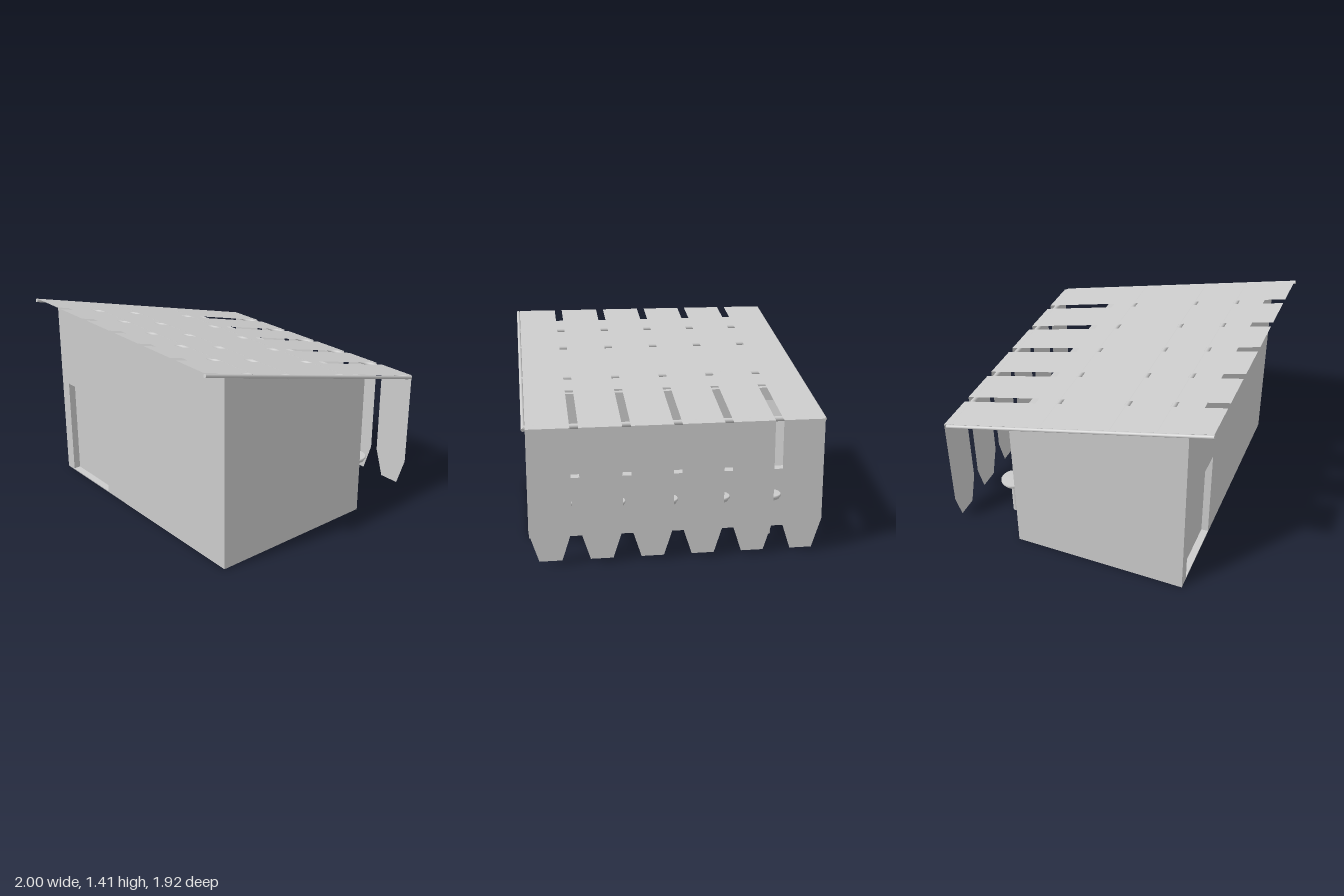
import * as THREE from 'three';

const grey = new THREE.MeshStandardMaterial({ color: 0xcccccc, side: THREE.DoubleSide });
const SLOPE = 0.254, TILT = Math.atan(SLOPE);
const W = 0.972, FRONT = 0.79, BACK = -0.46, T = 0.05; // hut half width, depth, wall thickness
const topY = z => 1.146 + 0.252 * z;  // top of the walls
const roofY = z => 1.167 + SLOPE * z; // plane of the roof planks

function add(parent, name, geometry, x = 0, y = 0, z = 0) {
  const mesh = new THREE.Mesh(geometry, grey);
  mesh.name = name;
  mesh.position.set(x, y, z);
  parent.add(mesh);
  return mesh;
}

function polygon(points) {
  return new THREE.Shape(points.map(p => new THREE.Vector2(p[0], p[1])));
}

function extrude(shape, depth) {
  return new THREE.ExtrudeGeometry(shape, { depth, bevelEnabled: false });
}

// Extrudes a (z, y) profile along x, centred on x = 0
function sideExtrude(points, width) {
  return extrude(polygon(points), width).rotateY(-Math.PI / 2).translate(width / 2, 0, 0);
}

function createHut() {
  const hut = new THREE.Group();
  hut.name = 'hut';
  const inner = 2 * (W - T);

  // Sloped side walls
  const profile = [[BACK, 0], [FRONT, 0], [FRONT, topY(FRONT)], [BACK, topY(BACK)]];
  for (const s of [-1, 1]) add(hut, 'sideWall', sideExtrude(profile, T), s * (W - T / 2));

  // Floor and sloped ceiling
  add(hut, 'floor', new THREE.BoxGeometry(inner, 0.02, FRONT - BACK - 2 * T), 0, 0.01, (FRONT + BACK) / 2);
  const z0 = BACK + T, z1 = FRONT - T;
  add(hut, 'ceiling', sideExtrude([[z0, topY(z0) - 0.04], [z1, topY(z1) - 0.04], [z1, topY(z1)], [z0, topY(z0)]], inner));

  // Front wall with a doorway, closed by a recessed door
  const h = inner / 2, yF = topY(FRONT - T);
  const front = polygon([[-h, 0], [-0.885, 0], [-0.885, 0.73], [-0.395, 0.73], [-0.395, 0], [h, 0], [h, yF], [-h, yF]]);
  add(hut, 'frontWall', extrude(front, T), 0, 0, FRONT - T);
  add(hut, 'frontWallCap', sideExtrude([[z1, yF], [FRONT, yF], [FRONT, topY(FRONT)]], inner));
  add(hut, 'door', new THREE.BoxGeometry(0.49, 0.73, 0.015), -0.64, 0.365, FRONT - T - 0.0075);
  add(hut, 'doorSill', new THREE.BoxGeometry(0.49, 0.01, T), -0.64, 0.005, FRONT - T / 2);

  // Back wall with a wide serving hatch
  const yB = topY(BACK);
  const back = polygon([[-h, 0], [h, 0], [h, yB], [-h, yB]]);
  const k = h - 0.002;
  back.holes.push(new THREE.Path([[-k, 0.43], [-k, 0.94], [k, 0.94], [k, 0.43]].map(p => new THREE.Vector2(...p))));
  add(hut, 'backWall', extrude(back, T), 0, 0, BACK);
  add(hut, 'counter', new THREE.BoxGeometry(2 * h, 0.085, 0.08), 0, 0.3925, BACK + 0.025);
  return hut;
}

function createRoof() {
  const roof = new THREE.Group();
  roof.name = 'roof';
  const zF = 0.948, zB = -0.96, zMid = (zF + zB) / 2;
  const length = (zF - zB) / Math.cos(TILT);

  // Roof planks, each with a pointed plank hanging from its low end
  const plank = new THREE.PlaneGeometry(0.28, length).rotateX(-Math.PI / 2);
  const w = 0.14, eave = roofY(zB);
  const hanging = new THREE.ShapeGeometry(polygon([
    [-w, eave], [-w, 0.23], [-w + 0.065, 0.03], [w - 0.065, 0.03], [w, 0.23], [w, eave]]));
  for (let i = 0; i < 6; i++) {
    const x = -0.844 + i * 0.336;
    add(roof, 'roofPlank', plank, x, roofY(zMid), zMid).rotation.x = -TILT;
    add(roof, 'hangingPlank', hanging, x, 0, zB);
  }

  // Round poles along both edges
  const edge = new THREE.CylinderGeometry(0.0125, 0.0125, 1.95, 16).rotateX(Math.PI / 2);
  for (const s of [-1, 1]) add(roof, 'edgePole', edge, s * 0.9875, roofY(0.008) - 0.014, 0.008).rotation.x = -TILT;

  // Round cross poles under the planks
  const cross = new THREE.CylinderGeometry(0.017, 0.017, 1.97, 16).rotateZ(Math.PI / 2);
  for (const z of [-0.905, -0.23, 0.268, 0.586]) add(roof, 'crossPole', cross, 0, roofY(z) - 0.017, z);
  return roof;
}

function createStool(x) {
  const stool = new THREE.Group();
  stool.name = 'stool';
  stool.position.set(x, 0, -0.622);
  add(stool, 'stoolLeg', new THREE.CylinderGeometry(0.023, 0.023, 0.275, 24), 0, 0.1475, 0);
  add(stool, 'seatBase', new THREE.CylinderGeometry(0.085, 0.08, 0.016, 32), 0, 0.286, 0);
  // Cushion with a softened rim
  const rim = [[0, 0.292], [0.088, 0.292], [0.092, 0.297], [0.092, 0.306], [0.087, 0.312], [0, 0.312]];
  add(stool, 'seatCushion', new THREE.LatheGeometry(rim.map(p => new THREE.Vector2(...p)), 32));
  return stool;
}

export function createModel() {
  const model = new THREE.Group();
  model.name = 'beachBar';
  model.add(createHut(), createRoof());
  for (let i = 0; i < 5; i++) model.add(createStool(-0.7 + i * 0.366));
  return model;
}
